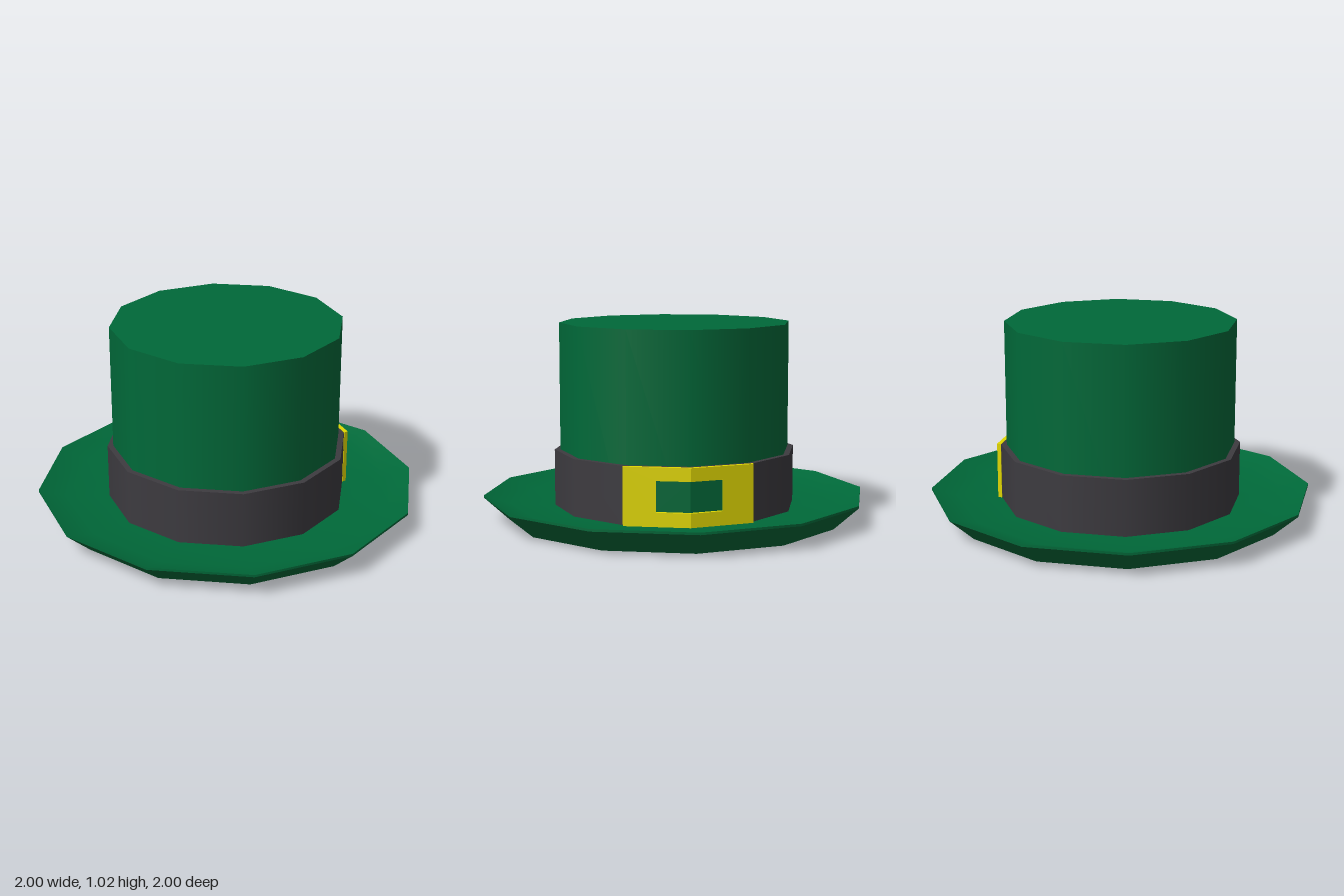
import * as THREE from 'three';

const SIDES = 12;
const CROWN_R = 0.6, CROWN_TOP = 1.025;
const BAND_R = 0.63, BAND_BASE = 0.072, BAND_TOP = 0.365;
const RIM_LOW = 0.118, RIM_TOP = 0.13;
const SLOPE = Math.tan(Math.PI / SIDES); // lean of the two facets beside +x

export function createModel() {
  const felt = new THREE.MeshStandardMaterial({ color: 0x006939, side: THREE.DoubleSide });
  felt.name = 'green felt';
  const ribbon = new THREE.MeshStandardMaterial({ color: 0x3d3b40 });
  ribbon.name = 'charcoal ribbon';
  const brass = new THREE.MeshStandardMaterial({ color: 0xe2d800 });
  brass.name = 'yellow brass';

  const hat = new THREE.Group();
  hat.name = 'hat';
  const add = (name, geometry, material, y = 0) => {
    const mesh = new THREE.Mesh(geometry, material);
    mesh.name = name;
    mesh.position.y = y;
    hat.add(mesh);
  };
  const lathe = (...points) =>
    new THREE.LatheGeometry(points.map(([r, y]) => new THREE.Vector2(r, y)), SIDES);

  // Hollow crown, open at the bottom
  add('crownWall', lathe([CROWN_R, 0], [CROWN_R, CROWN_TOP]), felt);
  add('crownTop', new THREE.CircleGeometry(CROWN_R, SIDES).rotateX(-Math.PI / 2), felt, CROWN_TOP);

  // Brim: flat underside, flared edge, thin rim and a dished top that dips to the band
  add('brimUnderside', new THREE.RingGeometry(CROWN_R, 0.87, SIDES).rotateX(Math.PI / 2), felt);
  add('brimFlare', lathe([0.87, 0], [1, RIM_LOW]), felt);
  add('brimRim', lathe([1, RIM_LOW], [1, RIM_TOP]), felt);
  add('brimTop', lathe([1, RIM_TOP], [0.85, 0.08], [CROWN_R, BAND_BASE]), felt);

  // Ribbon around the crown
  add('bandWall', lathe([BAND_R, BAND_BASE], [BAND_R, BAND_TOP]), ribbon);
  add('bandTop', new THREE.RingGeometry(CROWN_R, BAND_R, SIDES).rotateX(-Math.PI / 2), ribbon, BAND_TOP);

  // Extrude an outline of (z, y) points and fold it back along the band facet
  const fold = (points, side, depth) => {
    const shape = new THREE.Shape(points.map(([z, y]) => new THREE.Vector2(-side * z, y)));
    const geometry = new THREE.ExtrudeGeometry(shape, { depth, bevelEnabled: false });
    geometry.rotateY(Math.PI / 2);
    const p = geometry.attributes.position;
    for (let i = 0; i < p.count; i++) {
      p.setX(i, p.getX(i) + BAND_R - Math.abs(p.getZ(i)) * SLOPE);
    }
    geometry.computeVertexNormals();
    return geometry;
  };

  // Folded buckle on the model's left, with a green inset in its window
  const w = 0.32, hole = 0.163, low = 0.145, high = 0.3, top = BAND_TOP + 0.002;
  const frame = [
    [0, BAND_BASE], [w, BAND_BASE], [w, top], [0, top],
    [0, high], [hole, high], [hole, low], [0, low],
  ];
  const inset = [[0, low], [hole, low], [hole, high], [0, high]];
  for (const [side, label] of [[1, 'Front'], [-1, 'Back']]) {
    add('buckle' + label, fold(frame, side, 0.023), brass);
    add('buckleInset' + label, fold(inset, side, 0.004), felt);
  }
  return hat;
}
